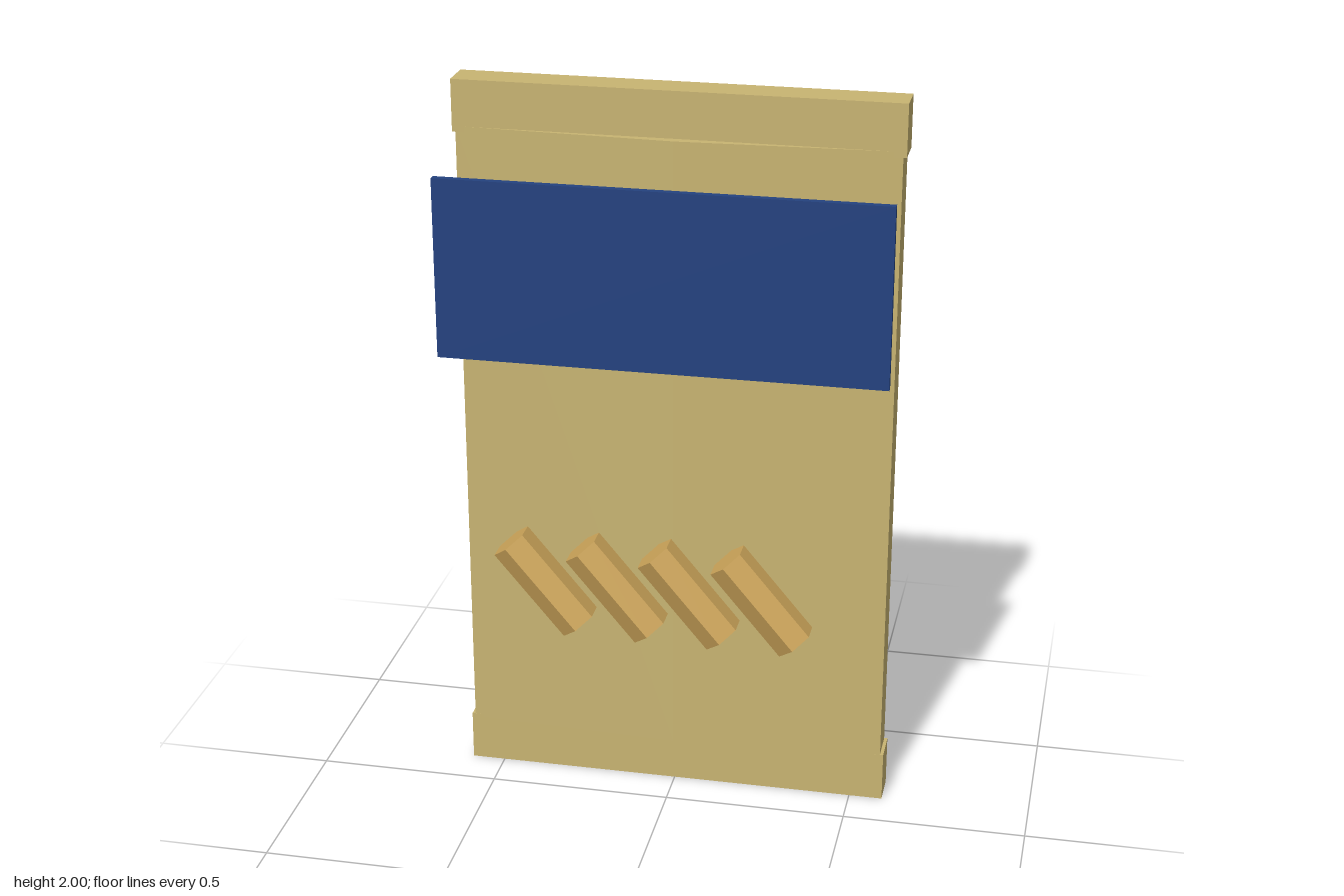
import * as THREE from 'three';

export function createModel() {
  const model = new THREE.Group();
  const wood = new THREE.MeshStandardMaterial({ name: 'pale wood', color: 0xc8b472 });
  const pegWood = new THREE.MeshStandardMaterial({ name: 'golden wood', color: 0xcda55a });
  const blue = new THREE.MeshStandardMaterial({ name: 'navy blue', color: 0x24427f });

  function add(name, geometry, material, x, y, z) {
    const mesh = new THREE.Mesh(geometry, material);
    mesh.name = name;
    mesh.position.set(x, y, z);
    model.add(mesh);
    return mesh;
  }

  const panelZ = -0.164;

  // Main panel: shallow ridge down the middle of both faces
  const section = new THREE.Shape([
    [-0.583, -0.047], [0, -0.072], [0.583, -0.047],
    [0.583, 0.047], [0, 0.072], [-0.583, 0.047],
  ].map(([x, y]) => new THREE.Vector2(x, y)));
  const panel = new THREE.ExtrudeGeometry(section, { depth: 1.745, bevelEnabled: false });
  panel.rotateX(-Math.PI / 2);
  add('panel', panel, wood, 0, 0.13, panelZ);

  // Rails capping both ends of the panel
  const rail = new THREE.BoxGeometry(1.184, 0.14, 0.096);
  add('bottomRail', rail, wood, 0, 0.07, panelZ);
  add('topRail', rail, wood, 0, 1.93, panelZ);

  // Blue board floating in front
  add('blueBoard', new THREE.BoxGeometry(1.184, 0.485, 0.019), blue, 0, 1.553, 0.078);

  // Row of slanted hexagonal pegs
  const peg = new THREE.CylinderGeometry(0.058, 0.058, 0.287, 6).toNonIndexed();
  peg.computeVertexNormals();
  for (let i = 0; i < 4; i++) {
    add(`peg${i + 1}`, peg, pegWood, (i - 1.5) * 0.193, 0.732, 0.176)
      .rotation.z = THREE.MathUtils.degToRad(40);
  }

  return model;
}
